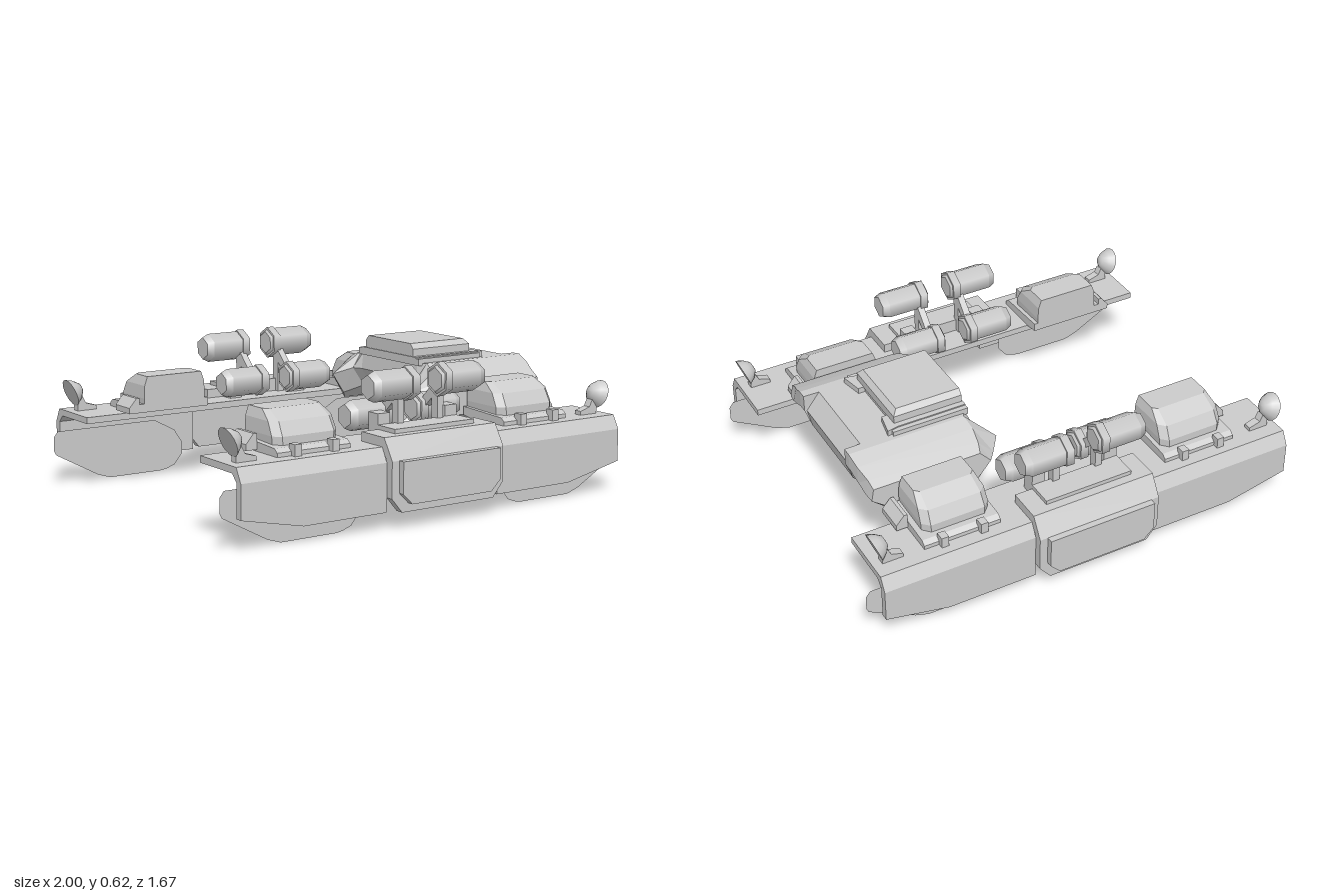
import * as THREE from 'three';

const grey = new THREE.MeshStandardMaterial({ color: 0xcccccc });
const sheet = new THREE.MeshStandardMaterial({ color: 0xcccccc, side: THREE.DoubleSide });

function add(group, name, geometry, material = grey) {
  const mesh = new THREE.Mesh(geometry, material);
  mesh.name = name;
  group.add(mesh);
}

const shapeOf = (pts) => new THREE.Shape(pts.map(([a, b]) => new THREE.Vector2(a, b)));

// Prism of an (x, y) outline between two z values
function prismZ(pts, z0, z1) {
  return new THREE.ExtrudeGeometry(shapeOf(pts), { depth: z1 - z0, bevelEnabled: false }).translate(0, 0, z0);
}

// Prism of a (z, y) outline between two x values
function prismX(pts, x0, x1) {
  return new THREE.ExtrudeGeometry(shapeOf(pts), { depth: x1 - x0, bevelEnabled: false })
    .rotateY(-Math.PI / 2).translate(x1, 0, 0);
}

function box(x0, x1, y0, y1, z0, z1) {
  return new THREE.BoxGeometry(x1 - x0, y1 - y0, z1 - z0)
    .translate((x0 + x1) / 2, (y0 + y1) / 2, (z0 + z1) / 2);
}

// Closed faceted solid through matching rings of [x, y, z] points
function loft(rings) {
  const n = rings[0].length, pts = rings.flat(), tris = [];
  for (let r = 0; r < rings.length - 1; r++) {
    for (let i = 0; i < n; i++) {
      const a = r * n + i, b = r * n + (i + 1) % n;
      tris.push([a, b, b + n], [a, b + n, a + n]);
    }
  }
  const last = (rings.length - 1) * n;
  for (let i = 1; i < n - 1; i++) tris.push([0, i + 1, i], [last, last + i, last + i + 1]);
  const vec = pts.map((p) => new THREE.Vector3(...p));
  const volume = tris.reduce((s, [a, b, c]) => s + vec[a].dot(vec[b].clone().cross(vec[c])), 0);
  const order = tris.flatMap(([a, b, c]) => (volume < 0 ? [a, c, b] : [a, b, c]));
  const geo = new THREE.BufferGeometry();
  geo.setAttribute('position', new THREE.Float32BufferAttribute(order.flatMap((i) => pts[i]), 3));
  geo.computeVertexNormals();
  return geo;
}

// Mirrored copy of a group, with the winding put right
function mirrored(group, sx, sz) {
  const copy = new THREE.Group();
  copy.name = group.name;
  for (const part of group.children) {
    if (part.isGroup) { copy.add(mirrored(part, sx, sz)); continue; }
    const geo = part.geometry.clone().scale(sx, 1, sz);
    const n = geo.attributes.position.count;
    const idx = geo.index ? Array.from(geo.index.array) : Array.from({ length: n }, (_, i) => i);
    for (let i = 0; i < idx.length; i += 3) [idx[i], idx[i + 1]] = [idx[i + 1], idx[i]];
    geo.setIndex(idx);
    add(copy, part.name, geo, part.material);
  }
  return copy;
}

// Six-sided canister lying along x: barrel, tapered outer end and collar
function canister(group, y, z) {
  const hex = (r0, r1, x0, x1) => new THREE.CylinderGeometry(r1, r0, x1 - x0, 6)
    .rotateZ(-Math.PI / 2).rotateX(Math.PI / 2).translate((x0 + x1) / 2, y, z);
  add(group, 'canisterBarrel', hex(0.064, 0.064, 0.1, 0.25));
  add(group, 'canisterEnd', hex(0.064, 0.05, 0.25, 0.28));
  add(group, 'canisterCollar', hex(0.071, 0.071, 0.065, 0.1));
  add(group, 'canisterCap', hex(0.05, 0.06, 0.055, 0.065));
}

// Everything on one half of a rail (x > 0)
function railHalf() {
  const g = new THREE.Group();
  g.name = 'railHalf';

  // Side plate and the folded top flange
  add(g, 'sidePlate', prismZ([[0.28, 0.07], [0.67, 0.07], [0.95, 0.13], [0.95, 0.27], [0.28, 0.27]], 0.74, 0.772));
  add(g, 'topFlange', prismX([[0.772, 0.27], [0.74, 0.328], [0.475, 0.328], [0.475, 0.3], [0.71, 0.3], [0.74, 0.27]], 0.28, 0.95));

  // Skid plate, a thin sheet just inside the side plate
  add(g, 'skid', new THREE.ShapeGeometry(shapeOf([[0.36, 0.07], [0.40, 0.02], [0.44, 0.005], [0.47, 0], [0.73, 0],
    [0.79, 0.02], [0.99, 0.13], [1, 0.15], [1, 0.21], [0.98, 0.235], [0.5, 0.235], [0.4, 0.18], [0.36, 0.12]]))
    .translate(0, 0, 0.7), sheet);

  // Pod with a stepped base and a domed cover
  add(g, 'podBase', prismX([[0.41, 0.335], [0.48, 0.325], [0.68, 0.325], [0.68, 0.345], [0.66, 0.36], [0.41, 0.372]], 0.39, 0.73));
  const ring = (y, hw, z1, c) => [[-hw, 0.41], [hw, 0.41], [hw, z1 - c], [hw - c, z1], [c - hw, z1], [-hw, z1 - c]]
    .map(([x, z]) => [0.557 + x, y, z]);
  add(g, 'podCover', loft([ring(0.35, 0.147, 0.635, 0.03), ring(0.395, 0.15, 0.635, 0.03),
    ring(0.45, 0.147, 0.605, 0.03), ring(0.49, 0.133, 0.53, 0.02)]));
  add(g, 'podSideBlock', prismZ([[0.73, 0.335], [0.78, 0.335], [0.78, 0.36], [0.745, 0.4], [0.73, 0.4]], 0.41, 0.535));
  for (const x of [0.475, 0.65]) add(g, 'podClip', box(x - 0.016, x + 0.016, 0.32, 0.375, 0.665, 0.705));

  // Canister pair on a slanted arm
  canister(g, 0.55, 0.64);
  canister(g, 0.41, 0.48);
  add(g, 'canisterArm', prismX([[0.46, 0.4], [0.49, 0.38], [0.66, 0.54], [0.63, 0.57]], 0.085, 0.115));
  add(g, 'canisterFoot', box(0.14, 0.2, 0.32, 0.43, 0.535, 0.6));
  add(g, 'canisterPost', box(0.085, 0.115, 0.32, 0.5, 0.58, 0.62));

  // Lamp: a shallow bowl looking outward and slightly down
  const place = (geo) => geo.rotateZ(-Math.PI / 2 - 0.36).translate(0.934, 0.408, 0.657);
  const bowl = [[0, -0.052], [0.022, -0.05], [0.045, -0.028], [0.062, 0]].map(([r, y]) => new THREE.Vector2(r, y));
  add(g, 'lampBowl', place(new THREE.LatheGeometry(bowl, 16)));
  add(g, 'lampFace', place(new THREE.CircleGeometry(0.062, 16).rotateX(-Math.PI / 2)));
  add(g, 'lampStalk', prismZ([[0.82, 0.325], [0.91, 0.325], [0.91, 0.36], [0.885, 0.39], [0.87, 0.36], [0.82, 0.345]], 0.64, 0.675));
  return g;
}

function rail() {
  const g = new THREE.Group();
  g.name = 'rail';
  // Raised middle section, hollow on the inside, with its outer pad
  add(g, 'middlePlate', prismZ([[-0.28, 0.28], [-0.28, 0.13], [-0.23, 0.07], [0.23, 0.07], [0.28, 0.13], [0.28, 0.28]], 0.77, 0.807));
  add(g, 'middleTop', prismX([[0.77, 0.28], [0.807, 0.28], [0.753, 0.367], [0.6, 0.367], [0.6, 0.328],
    [0.475, 0.328], [0.475, 0.3], [0.7, 0.3], [0.735, 0.325]], -0.28, 0.28));
  add(g, 'middlePad', prismZ([[-0.245, 0.28], [-0.245, 0.15], [-0.2, 0.105], [0.2, 0.105], [0.245, 0.15], [0.245, 0.28]], 0.805, 0.835));
  add(g, 'middleTray', box(-0.2, 0.2, 0.36, 0.385, 0.6, 0.715));
  const half = railHalf();
  g.add(half, mirrored(half, -1, 1));
  return g;
}

// Arched bridge joining the two rails at +x
function bridge() {
  const g = new THREE.Group();
  g.name = 'bridge';
  // z, back x, front x, bottom, middle, top, top inset at the front and back, undercut
  const half = [
    [0.4, 0.28, 0.82, 0.335, 0.405, 0.46, 0.01, 0.05, 0.09],
    [0.36, 0.247, 0.825, 0.31, 0.41, 0.482, 0.01, 0.07, 0.09],
    [0.3, 0.2, 0.832, 0.345, 0.435, 0.513, 0, 0.11, 0.08],
    [0.24, 0.27, 0.84, 0.38, 0.465, 0.54, 0, 0.05, 0.05],
    [0.201, 0.29, 0.84, 0.38, 0.465, 0.54, 0, 0.01, 0.03],
    [0.2, 0.29, 0.83, 0.38, 0.465, 0.54, 0.06, 0.01, 0.02],
  ];
  const station = ([z, x0, x1, y0, ym, y1, f, b, u], s) =>
    [[x0 + 0.06, y0], [x1 - u, y0], [x1, ym], [x1 - f, y1], [x0 + b, y1], [x0, ym]].map(([x, y]) => [x, y, z * s]);
  add(g, 'bridgeBody', loft([...half.map((h) => station(h, 1)), ...half.slice().reverse().map((h) => station(h, -1))]));
  add(g, 'bridgeKeel', prismZ([[0.36, 0.39], [0.42, 0.31], [0.71, 0.31], [0.785, 0.39]], -0.25, 0.25));
  // Hatch on top, framed by two ribs with hooked ends
  add(g, 'hatchBase', box(0.29, 0.6, 0.53, 0.565, -0.2, 0.2));
  const ring = (y, x0, x1, hz) => [[x0, y, -hz], [x1, y, -hz], [x1, y, hz], [x0, y, hz]];
  add(g, 'hatchLid', loft([ring(0.56, 0.295, 0.605, 0.175), ring(0.597, 0.295, 0.605, 0.175), ring(0.62, 0.295, 0.585, 0.155)]));
  for (const s of [-1, 1]) {
    add(g, 'hatchRib', box(0.29, 0.63, 0.53, 0.56, s * 0.21 - 0.012, s * 0.21 + 0.012));
    add(g, 'hatchHook', loft([0.53, 0.565].map((y) =>
      [[0.6, 0.2], [0.65, 0.21], [0.63, 0.11], [0.6, 0.11]].map(([x, z]) => [x, y, z * s]))));
  }
  return g;
}

export function createModel() {
  const model = new THREE.Group();
  model.name = 'twinRailFrame';
  const front = rail();
  model.add(front, mirrored(front, 1, -1), bridge());
  return model;
}
